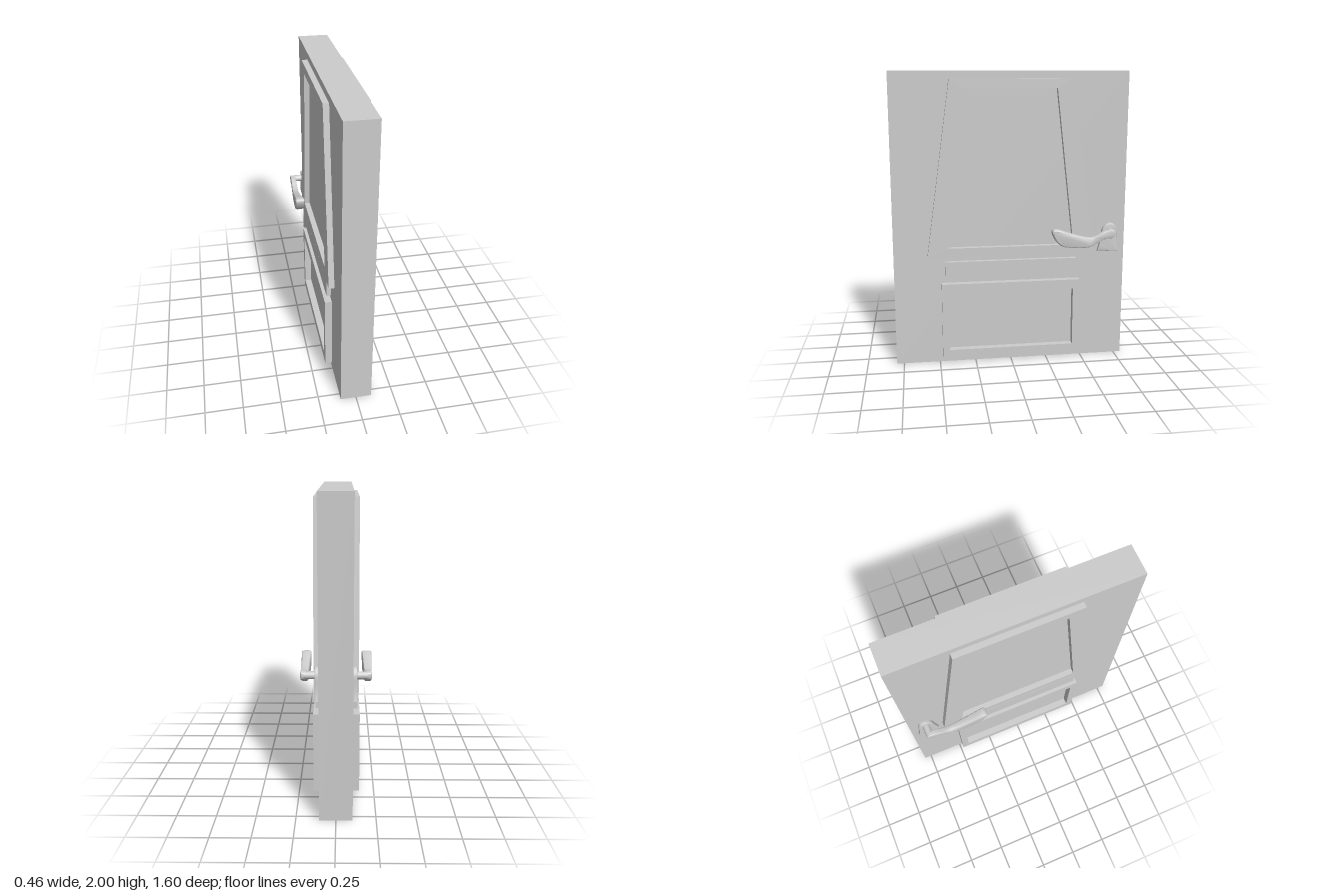
import * as THREE from 'three';
import { toCreasedNormals } from 'three/addons/utils/BufferGeometryUtils.js';

const paint = new THREE.MeshStandardMaterial({ color: 0xcccccc });
paint.name = 'lightGrey';

// Profiles are drawn as (u, y) with u = -z, and given thickness along x.
const outline = (points) => new THREE.Shape(points.map(([u, y]) => new THREE.Vector2(u, y)));

// Trapezoid centred on u = 0
const trapezoid = (bottomHalf, topHalf, y0, y1) =>
  outline([[-bottomHalf, y0], [bottomHalf, y0], [topHalf, y1], [-topHalf, y1]]);

// Extrudes a profile along x, centred on x = 0, keeping its outline when bevelled
function slabAlongX(shape, thickness, bevel = 0) {
  const geometry = new THREE.ExtrudeGeometry(shape, {
    depth: thickness - 2 * bevel,
    bevelEnabled: bevel > 0,
    bevelThickness: bevel,
    bevelSize: bevel,
    bevelOffset: -bevel,
    bevelSegments: 2,
    curveSegments: 6,
  });
  geometry.translate(0, 0, bevel - thickness / 2);
  return geometry.rotateY(Math.PI / 2);
}

// Closed smooth outline through a few points
function smoothOutline(points, samples) {
  const curve = new THREE.CatmullRomCurve3(
    points.map(([u, y]) => new THREE.Vector3(u, y, 0)), true, 'centripetal');
  return outline(curve.getPoints(samples).slice(0, -1).map((p) => [p.x, p.y]));
}

function add(parent, name, geometry, x = 0) {
  const mesh = new THREE.Mesh(geometry, paint);
  mesh.name = name;
  mesh.position.x = x;
  parent.add(mesh);
}

function leverGeometry() {
  const shape = smoothOutline([
    [0.637, 0.93], [0.69, 0.935], [0.707, 0.925], [0.707, 0.895], [0.69, 0.877],
    [0.637, 0.873], [0.58, 0.843], [0.525, 0.819], [0.42, 0.818], [0.335, 0.833],
    [0.29, 0.875], [0.267, 0.935], [0.28, 0.948], [0.305, 0.948], [0.40, 0.917],
    [0.50, 0.89], [0.55, 0.888],
  ], 68);
  const geometry = slabAlongX(shape, 0.036, 0.009);
  // Thicken the grip towards its free end
  const p = geometry.attributes.position;
  for (let i = 0; i < p.count; i++) {
    const t = THREE.MathUtils.clamp((p.getZ(i) + 0.64) / 0.36, 0, 1);
    p.setX(i, p.getX(i) * (1 + 0.78 * t));
  }
  return toCreasedNormals(geometry, 0.6);
}

export function createModel() {
  const model = new THREE.Group();
  model.name = 'door';

  const slab = new THREE.BoxGeometry(0.208, 2, 1.6);
  slab.translate(0, 1, 0);
  add(model, 'doorSlab', slab);

  // Raised mouldings, the same on both faces
  const upper = trapezoid(0.573, 0.408, 0.757, 1.95);
  upper.holes.push(trapezoid(0.43, 0.306, 0.825, 1.886));
  const lower = trapezoid(0.48, 0.48, 0.037, 0.575);
  lower.holes.push(trapezoid(0.432, 0.432, 0.1, 0.51));
  const middle = trapezoid(0.454, 0.454, 0.608, 0.727);
  const mouldings = [
    ['upperFrame', upper, 0.142], ['middleRail', middle, 0.135], ['lowerFrame', lower, 0.151],
  ];

  // Handle back plate: flared foot and rounded top
  const plateShape = outline([[0.605, 0.765], [0.757, 0.765]]);
  plateShape.bezierCurveTo(0.742, 0.82, 0.742, 0.86, 0.741, 0.915);
  plateShape.bezierCurveTo(0.738, 0.975, 0.675, 0.98, 0.647, 0.94);
  plateShape.bezierCurveTo(0.63, 0.92, 0.633, 0.85, 0.605, 0.765);
  const plate = toCreasedNormals(slabAlongX(plateShape, 0.03, 0.008), 0.6);
  const stem = new THREE.CylinderGeometry(0.024, 0.024, 0.08, 20);
  stem.rotateZ(Math.PI / 2).translate(0, 0.91, -0.688);
  const lever = leverGeometry();

  for (const [side, s] of [['left', 1], ['right', -1]]) {
    for (const [name, shape, reach] of mouldings) {
      const depth = reach - 0.1;
      add(model, `${side}_${name}`, slabAlongX(shape, depth), s * (0.1 + depth / 2));
    }
    const handle = new THREE.Group();
    handle.name = `${side}_handle`;
    add(handle, 'backPlate', plate, s * 0.114);
    add(handle, 'stem', stem, s * 0.155);
    add(handle, 'lever', lever, s * 0.197);
    model.add(handle);
  }
  return model;
}
